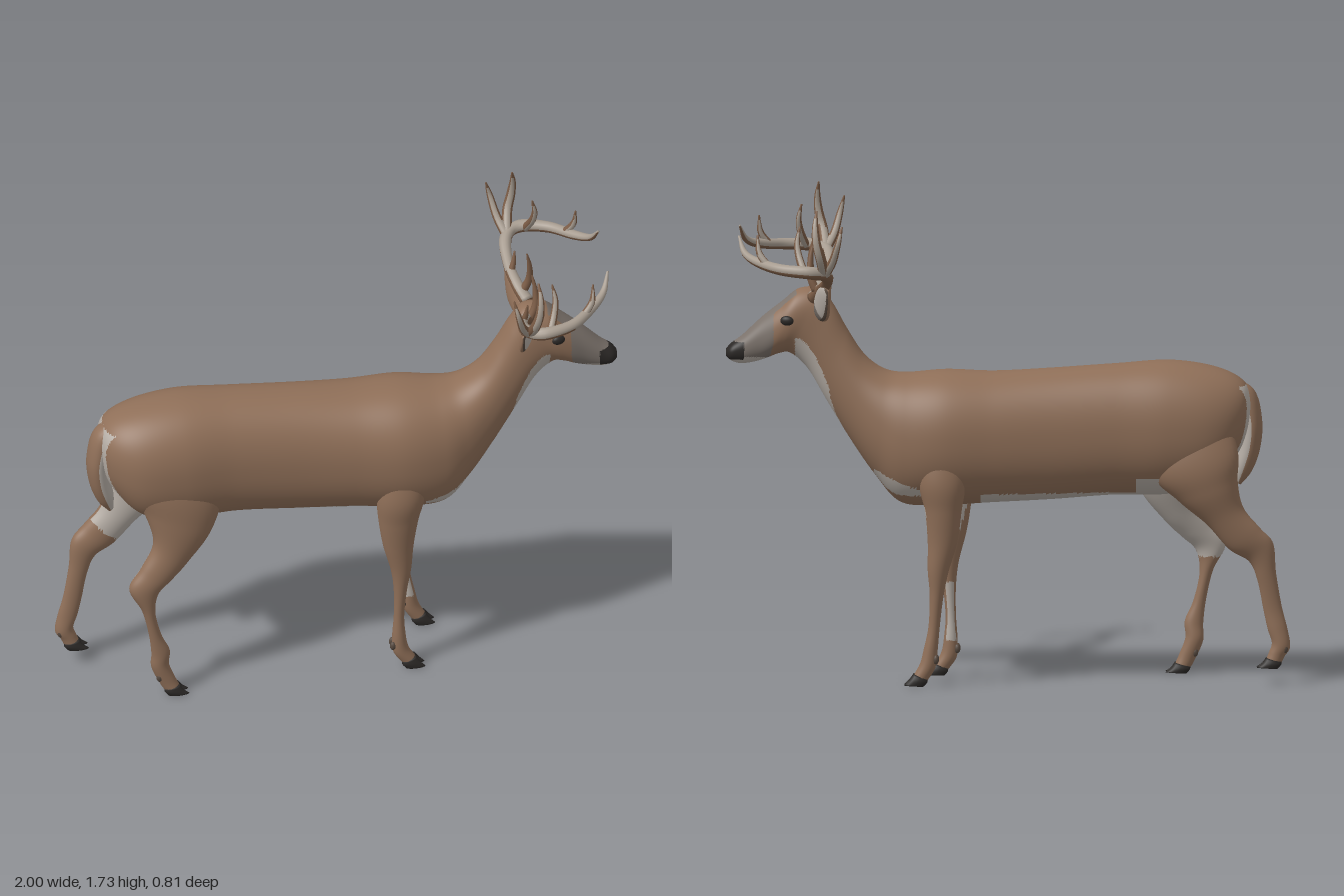
import * as THREE from 'three';

const V = (x, y, z) => new THREE.Vector3(x, y, z);
const mat = (name, color) => Object.assign(new THREE.MeshStandardMaterial({ color }), { name });
const COAT = 0, WHITE = 1, GREY = 2, BLACK = 3, BONE = 4, BARK = 5, DARK = 6;

// Smooth skin over sections {c, a, b}; paint(centroid, normal, t) picks a material per face
function loft(name, mats, sections, paint, steps, sides, power = 1) {
  const curve = k => new THREE.CatmullRomCurve3(sections.map(s => s[k]), false, 'catmullrom', 0.5);
  const [C, A, B] = ['c', 'a', 'b'].map(curve);
  const pts = [], tris = [];
  const soft = v => Math.sign(v) * Math.abs(v) ** power;
  for (let i = 0; i <= steps; i++) {
    const t = i / steps, c = C.getPoint(t), a = A.getPoint(t), b = B.getPoint(t);
    for (let j = 0; j < sides; j++) {
      const w = (j / sides) * Math.PI * 2;
      pts.push(c.clone().addScaledVector(a, soft(Math.cos(w))).addScaledVector(b, soft(Math.sin(w))));
    }
  }
  for (let i = 0; i < steps; i++) for (let j = 0; j < sides; j++) {
    const k = (j + 1) % sides, p = i * sides, q = p + sides, t = (i + 0.5) / steps;
    tris.push([p + j, p + k, q + j, t], [p + k, q + k, q + j, t]);
  }
  // closed ends
  const first = pts.push(sections[0].c) - 1, last = pts.push(sections.at(-1).c) - 1;
  for (let j = 0; j < sides; j++) {
    const k = (j + 1) % sides, q = steps * sides;
    tris.push([first, k, j, 0], [last, q + j, q + k, 1]);
  }
  // turn faces outward
  let volume = 0;
  for (const [i, j, k] of tris) volume += pts[i].dot(pts[j].clone().cross(pts[k]));
  if (volume < 0) for (const f of tris) [f[1], f[2]] = [f[2], f[1]];
  // sort faces into colour groups
  const buckets = mats.map(() => []);
  for (const [i, j, k, t] of tris) {
    const centre = V(0, 0, 0).add(pts[i]).add(pts[j]).add(pts[k]).divideScalar(3);
    const normal = pts[j].clone().sub(pts[i]).cross(pts[k].clone().sub(pts[i])).normalize();
    buckets[paint(centre, normal, t)].push(i, j, k);
  }
  const geo = new THREE.BufferGeometry().setFromPoints(pts);
  geo.setIndex(buckets.flat());
  let start = 0;
  buckets.forEach((f, m) => {
    if (f.length) geo.addGroup(start, f.length, m);
    start += f.length;
  });
  geo.computeVertexNormals();
  const mesh = new THREE.Mesh(geo, mats);
  mesh.name = name;
  return mesh;
}

// Section spanning two points in the side plane, with half width w around z
const slice = ([x1, y1, x2, y2, z, w]) => ({
  c: V((x1 + x2) / 2, (y1 + y2) / 2, z), a: V((x1 - x2) / 2, (y1 - y2) / 2, 0), b: V(0, 0, w),
});

// Round sections along a path of [x, y, z, radius]
function rod(path) {
  const p = path.map(q => V(q[0], q[1], q[2]));
  let a = V(0.83, 0.21, 0.51);
  return path.map((q, i) => {
    const t = p[Math.min(i + 1, p.length - 1)].clone().sub(p[Math.max(i - 1, 0)]).normalize();
    a = a.clone().addScaledVector(t, -a.dot(t)).normalize();
    return { c: p[i], a: a.clone().multiplyScalar(q[3]), b: t.cross(a).multiplyScalar(q[3]) };
  });
}

export function createModel() {
  const root = new THREE.Group();
  root.name = 'deer';
  const mats = [mat('coat brown', 0x8f6f58), mat('pale fur', 0xb5ada5), mat('muzzle grey', 0x7b726b),
    mat('hoof black', 0x2b2826), mat('antler bone', 0xa79c90), mat('antler brown', 0x7b5c46),
    mat('dark fur', 0x574a40)];

  // Trunk, neck and head: back x y, underside x y, centre z, half width
  const trunk = [
    [-0.865, 0.99, -0.85, 0.90, 0.04, 0.03], [-0.83, 1.07, -0.80, 0.80, 0.04, 0.12],
    [-0.73, 1.12, -0.70, 0.70, 0.04, 0.18], [-0.57, 1.145, -0.55, 0.67, 0.03, 0.195],
    [-0.38, 1.135, -0.37, 0.67, 0.015, 0.18], [-0.15, 1.12, -0.15, 0.655, 0.005, 0.18],
    [0.05, 1.11, 0.05, 0.645, 0, 0.192], [0.22, 1.115, 0.24, 0.635, 0, 0.208],
    [0.36, 1.105, 0.38, 0.645, 0, 0.185], [0.44, 1.118, 0.47, 0.74, 0, 0.15],
    [0.51, 1.17, 0.56, 0.87, 0, 0.115], [0.57, 1.26, 0.645, 1.01, 0, 0.092],
    [0.62, 1.35, 0.71, 1.12, 0, 0.083], [0.665, 1.405, 0.77, 1.175, 0, 0.082],
    [0.74, 1.405, 0.81, 1.175, 0, 0.085], [0.80, 1.36, 0.85, 1.16, 0, 0.077],
    [0.87, 1.305, 0.895, 1.145, 0, 0.06], [0.94, 1.24, 0.945, 1.138, 0, 0.049],
    [0.98, 1.21, 0.98, 1.147, 0, 0.043], [1.0, 1.188, 0.998, 1.162, 0, 0.024]];
  const paintTrunk = (p, n) => {
    const z = Math.abs(p.z);
    // nose, chin, muzzle and forehead
    if (p.x > 0.935 && p.y > 1.155 && p.y < 1.217) return BLACK;
    if (p.x > 0.86 && p.y < 1.165 && n.y < -0.2) return WHITE;
    if (p.x > 0.83 + 0.25 * Math.max(0, 1.22 - p.y) || (p.x > 0.75 && z < 0.048 && n.y > 0.3)) return GREY;
    // throat
    if (p.x > 0.48 && p.x < 0.755 && n.y < 0.1 && n.x > 0
      && z < 0.075 * Math.min(1, (p.y - 0.84) / 0.22)) return WHITE;
    // chest patches beside the forelegs
    if (p.x > 0.3 && Math.hypot((z - 0.1) / 0.055, (p.y - 0.725 + 0.3 * (z - 0.1)) / 0.04) < 1) return WHITE;
    // belly, groin and rump
    if (p.x > -0.45 && p.x < 0.1 && p.y < 0.687) return WHITE;
    if (p.x <= -0.45 && p.y < 0.74 && z < 0.13) return WHITE;
    if (p.x < -0.775 && p.y < 1.06 && Math.abs(p.z - 0.045) < 0.085) return WHITE;
    return COAT;
  };
  root.add(loft('body', mats, trunk.map(slice), paintTrunk, 228, 96, 0.9));

  // Tail
  const tail = [[-0.77, 1.09, -0.80, 1.05, 0.05, 0.03], [-0.865, 1.04, -0.80, 1.0, 0.05, 0.05],
    [-0.895, 0.93, -0.82, 0.92, 0.05, 0.06], [-0.888, 0.83, -0.815, 0.84, 0.05, 0.055],
    [-0.86, 0.75, -0.80, 0.77, 0.05, 0.04], [-0.82, 0.70, -0.80, 0.71, 0.05, 0.015]];
  root.add(loft('tail', mats, tail.map(slice), (p, n) => (n.x > 0.1 ? WHITE : COAT), 40, 32));

  // Legs: front edge x y, back edge x y, centre z, half width
  const legs = {
    leftHindLeg: [[-0.50, 1.05, -0.76, 1.06, 0.08, 0.06], [-0.43, 0.82, -0.78, 0.90, 0.13, 0.085],
      [-0.46, 0.67, -0.71, 0.76, 0.155, 0.075], [-0.55, 0.55, -0.675, 0.635, 0.18, 0.052],
      [-0.61, 0.49, -0.72, 0.54, 0.2, 0.04], [-0.66, 0.44, -0.765, 0.465, 0.213, 0.032],
      [-0.672, 0.36, -0.72, 0.37, 0.213, 0.026], [-0.65, 0.26, -0.695, 0.265, 0.21, 0.022],
      [-0.62, 0.19, -0.685, 0.18, 0.205, 0.025], [-0.622, 0.13, -0.685, 0.12, 0.2, 0.028],
      [-0.60, 0.07, -0.655, 0.05, 0.2, 0.025], [-0.585, 0.036, -0.64, 0.024, 0.2, 0.026]],
    rightHindLeg: [[-0.50, 1.0, -0.76, 1.02, -0.04, 0.06], [-0.50, 0.77, -0.81, 0.84, -0.085, 0.07],
      [-0.60, 0.66, -0.81, 0.73, -0.085, 0.065], [-0.70, 0.575, -0.83, 0.635, -0.075, 0.05],
      [-0.78, 0.485, -0.89, 0.56, -0.07, 0.04], [-0.85, 0.44, -0.935, 0.505, -0.06, 0.032],
      [-0.88, 0.37, -0.945, 0.40, -0.055, 0.026], [-0.90, 0.27, -0.965, 0.28, -0.05, 0.022],
      [-0.915, 0.2, -0.985, 0.2, -0.05, 0.025], [-0.93, 0.15, -0.995, 0.135, -0.05, 0.028],
      [-0.92, 0.115, -0.975, 0.10, -0.05, 0.026], [-0.91, 0.09, -0.965, 0.078, -0.05, 0.026]],
    leftFrontLeg: [[0.31, 0.9, 0.13, 0.9, 0.12, 0.05], [0.30, 0.74, 0.125, 0.74, 0.145, 0.062],
      [0.275, 0.63, 0.133, 0.63, 0.143, 0.055], [0.258, 0.52, 0.15, 0.52, 0.14, 0.045],
      [0.25, 0.42, 0.178, 0.41, 0.138, 0.036], [0.235, 0.33, 0.188, 0.32, 0.138, 0.028],
      [0.225, 0.22, 0.188, 0.22, 0.138, 0.022], [0.23, 0.14, 0.182, 0.13, 0.138, 0.026],
      [0.24, 0.085, 0.185, 0.07, 0.138, 0.027], [0.265, 0.042, 0.215, 0.024, 0.138, 0.026]],
    rightFrontLeg: [[0.33, 0.9, 0.15, 0.9, -0.12, 0.05], [0.32, 0.74, 0.15, 0.74, -0.142, 0.062],
      [0.295, 0.63, 0.165, 0.63, -0.14, 0.055], [0.285, 0.52, 0.18, 0.52, -0.138, 0.045],
      [0.285, 0.42, 0.212, 0.41, -0.138, 0.036], [0.278, 0.33, 0.23, 0.32, -0.136, 0.028],
      [0.282, 0.22, 0.242, 0.22, -0.133, 0.022], [0.298, 0.14, 0.25, 0.13, -0.13, 0.026],
      [0.312, 0.085, 0.258, 0.07, -0.13, 0.027], [0.335, 0.042, 0.285, 0.024, -0.13, 0.026]],
  };
  for (const [name, rows] of Object.entries(legs)) {
    const side = name.startsWith('left') ? 1 : -1, hind = name.includes('Hind');
    const paint = (p, n) => {
      const inner = -n.z * side;
      if (hind) {
        const limit = side > 0 ? 0.42 : 0.5 - (p.x + 0.77) * 0.9;
        const thigh = inner > 0.25 && p.y > limit && p.y < 0.8;
        return thigh || (n.x > 0.45 && inner > -0.25 && p.y > 0.5 && p.y < 0.72) ? WHITE : COAT;
      }
      // forelegs: a wedge tapering down the inner front, and a lower inner strip
      const wedge = p.y > 0.44 && p.y < 0.65 && inner + 0.6 * n.x > 0.95 - 3.8 * (p.y - 0.44);
      return wedge || (p.y > 0.13 && p.y < 0.34 && inner > 0.6 && n.x < 0.7) ? WHITE : COAT;
    };
    root.add(loft(name, mats, rows.map(slice), paint, 88, 40));

    // Cloven hoof and dewclaws
    const [fx, fy, bx, by, z] = rows.at(-1), foot = new THREE.Group();
    foot.name = name + 'Hoof';
    const low = by - 0.02;
    for (const s of [-1, 1]) {
      const toe = [[fx, fy + 0.006, bx, by + 0.004, z + s * 0.012, 0.014],
        [fx + 0.014, fy - 0.014, bx + 0.002, by - 0.006, z + s * 0.015, 0.015],
        [fx + 0.034, low + 0.004, bx + 0.014, low, z + s * 0.016, 0.013]];
      foot.add(loft('toe', mats, toe.map(slice), () => BLACK, 8, 16));
      const claw = new THREE.Mesh(new THREE.SphereGeometry(0.011, 10, 8), mats[DARK]);
      claw.name = 'dewclaw';
      claw.scale.set(1, 1.5, 0.9);
      claw.position.set(rows.at(-2)[2] - 0.002, rows.at(-2)[3] + 0.03, z + s * 0.015);
      foot.add(claw);
    }
    root.add(foot);
  }

  for (const s of [1, -1]) {
    const word = s > 0 ? 'left' : 'right';
    // Ear: flat leaf, pale inside with a dark rim and grey root
    const ear = [[0.08, 1.325, 0.03, 0.014], [0.12, 1.345, 0.046, 0.018], [0.155, 1.37, 0.052, 0.017],
      [0.195, 1.40, 0.042, 0.013], [0.225, 1.42, 0.024, 0.008], [0.243, 1.432, 0.004, 0.003]];
    const paintEar = (p, n, t) => {
      if (n.x < 0.3) return COAT;
      if (n.x < 0.7 || t > 0.86) return DARK;
      return t < 0.25 ? GREY : WHITE;
    };
    root.add(loft(word + 'Ear', mats, ear.map(([z, y, w, d], i) => ({
      c: V(0.67 - i * 0.007, y, z * s), a: V(w * 0.35, w * 0.8, -w * 0.5 * s), b: V(d, 0, d * 0.4 * s),
    })), paintEar, 30, 48));

    // Eye
    const eye = new THREE.Mesh(new THREE.SphereGeometry(0.022, 18, 12), mats[BLACK]);
    eye.name = word + 'Eye';
    eye.scale.set(1.1, 0.8, 0.6);
    eye.position.set(0.783, 1.3, 0.08 * s);
    eye.rotation.y = 0.25 * s;
    root.add(eye);

    // Antler: one sweeping beam with upright tines
    const antler = new THREE.Group();
    antler.name = word + 'Antler';
    const branches = [
      [[0.69, 1.38, 0.06, 0.024], [0.66, 1.42, 0.11, 0.021], [0.64, 1.455, 0.2, 0.019],
        [0.645, 1.495, 0.3, 0.022], [0.70, 1.51, 0.345, 0.023], [0.80, 1.517, 0.315, 0.02],
        [0.88, 1.53, 0.235, 0.017], [0.93, 1.555, 0.175, 0.012], [0.952, 1.61, 0.127, 0.004]],
      [[0.65, 1.495, 0.31, 0.018], [0.66, 1.56, 0.375, 0.018], [0.675, 1.62, 0.39, 0.016],
        [0.68, 1.68, 0.38, 0.011], [0.675, 1.733, 0.355, 0.003]],
      [[0.65, 1.495, 0.31, 0.018], [0.62, 1.55, 0.36, 0.015], [0.60, 1.62, 0.39, 0.011], [0.585, 1.68, 0.382, 0.003]],
      [[0.72, 1.51, 0.335, 0.015], [0.738, 1.56, 0.30, 0.013], [0.745, 1.61, 0.28, 0.01], [0.735, 1.665, 0.268, 0.003]],
      [[0.85, 1.525, 0.265, 0.014], [0.88, 1.57, 0.25, 0.011], [0.885, 1.63, 0.235, 0.003]],
      [[0.68, 1.41, 0.09, 0.016], [0.70, 1.46, 0.085, 0.013], [0.70, 1.52, 0.075, 0.009], [0.69, 1.575, 0.068, 0.003]],
      [[0.645, 1.44, 0.16, 0.013], [0.655, 1.48, 0.168, 0.009], [0.66, 1.52, 0.175, 0.003]]];
    branches.forEach((path, i) => {
      const paint = (p, n, t) => {
        if (i === 0) return n.y < (t < 0.4 ? 0.3 : -0.3) ? BARK : BONE;
        return i > 4 || Math.abs(n.x) > 0.6 || t > 0.85 ? BARK : BONE;
      };
      const sections = rod(path.map(([x, y, z, r]) => [x, y, z * s, r]));
      antler.add(loft(i ? 'tine' : 'beam', mats, sections, paint, i ? 16 : 48, 14));
    });
    root.add(antler);
  }
  return root;
}
